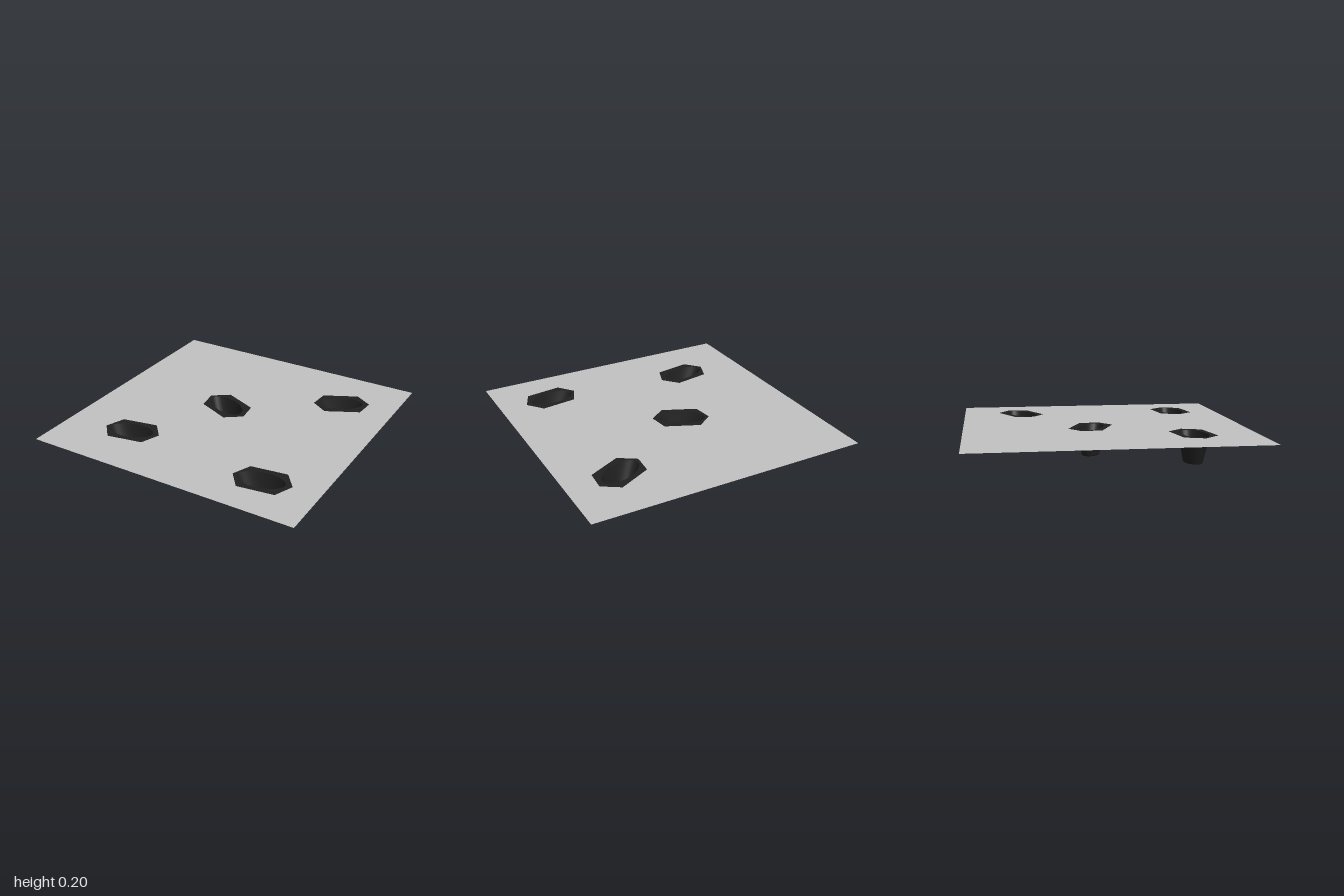
import * as THREE from 'three';

const TOP = 0.2;

// centre x, centre z, turn about y
const PITS = [
  [0.605, -0.56, 0.464],
  [-0.115, -0.095, -0.41],
  [-0.4975, 0.5625, 0.18],
  [0.5975, 0.6525, 0.136],
];

// elongated hexagon of the collar, in (x, z)
const HEX = [[0.205, 0], [0.13, -0.126], [-0.13, -0.126], [-0.205, 0], [-0.13, 0.126], [0.13, 0.126]];

// flat horizontal sheet from a shape drawn in (x, -z)
function sheet(shape, material, name) {
  const geometry = new THREE.ShapeGeometry(shape, 32).rotateX(-Math.PI / 2);
  const mesh = new THREE.Mesh(geometry, material);
  mesh.position.y = TOP;
  mesh.name = name;
  return mesh;
}

// tapering oval bowl with a flat floor
function bowlGeometry() {
  const profile = [[0, 0], [0.05, 0], [0.088, 0], [0.095, 0.006], [0.118, 0.07], [0.142, 0.136], [0.165, TOP]];
  const geometry = new THREE.LatheGeometry(profile.map(([r, y]) => new THREE.Vector2(r, y)), 32);
  const p = geometry.attributes.position;
  for (let i = 0; i < p.count; i++) {
    const t = p.getY(i) / TOP;
    p.setX(i, p.getX(i) - 0.01 * t);
    p.setZ(i, p.getZ(i) * THREE.MathUtils.lerp(0.65, 0.533, t));
  }
  geometry.computeVertexNormals();
  return geometry;
}

export function createModel() {
  const model = new THREE.Group();
  const grey = new THREE.MeshStandardMaterial({ color: 0xc2c2c2, side: THREE.DoubleSide });
  grey.name = 'pale grey';
  const black = new THREE.MeshStandardMaterial({ color: 0x202020, side: THREE.DoubleSide });
  black.name = 'charcoal';

  // square ground sheet with a hexagonal hole for each pit
  const ground = new THREE.Shape([[-1, -1], [1, -1], [1, 1], [-1, 1]].map(([x, y]) => new THREE.Vector2(x, y)));
  for (const [cx, cz, turn] of PITS) {
    const c = Math.cos(turn), s = Math.sin(turn);
    ground.holes.push(new THREE.Path(HEX.map(([x, z]) =>
      new THREE.Vector2(cx + x * c + z * s, -(cz - x * s + z * c)))));
  }
  model.add(sheet(ground, grey, 'groundSheet'));

  // collar shape with the oval mouth cut out
  const collar = new THREE.Shape(HEX.map(([x, z]) => new THREE.Vector2(x, -z)));
  collar.holes.push(new THREE.Path().absellipse(-0.01, 0, 0.165, 0.088, 0, Math.PI * 2, true));

  const bowl = bowlGeometry();
  for (const [cx, cz, turn] of PITS) {
    const pit = new THREE.Group();
    pit.name = 'pit';
    const wall = new THREE.Mesh(bowl, black);
    wall.name = 'pitBowl';
    pit.add(sheet(collar, black, 'pitCollar'), wall);
    pit.position.set(cx, 0, cz);
    pit.rotation.y = turn;
    model.add(pit);
  }
  return model;
}
